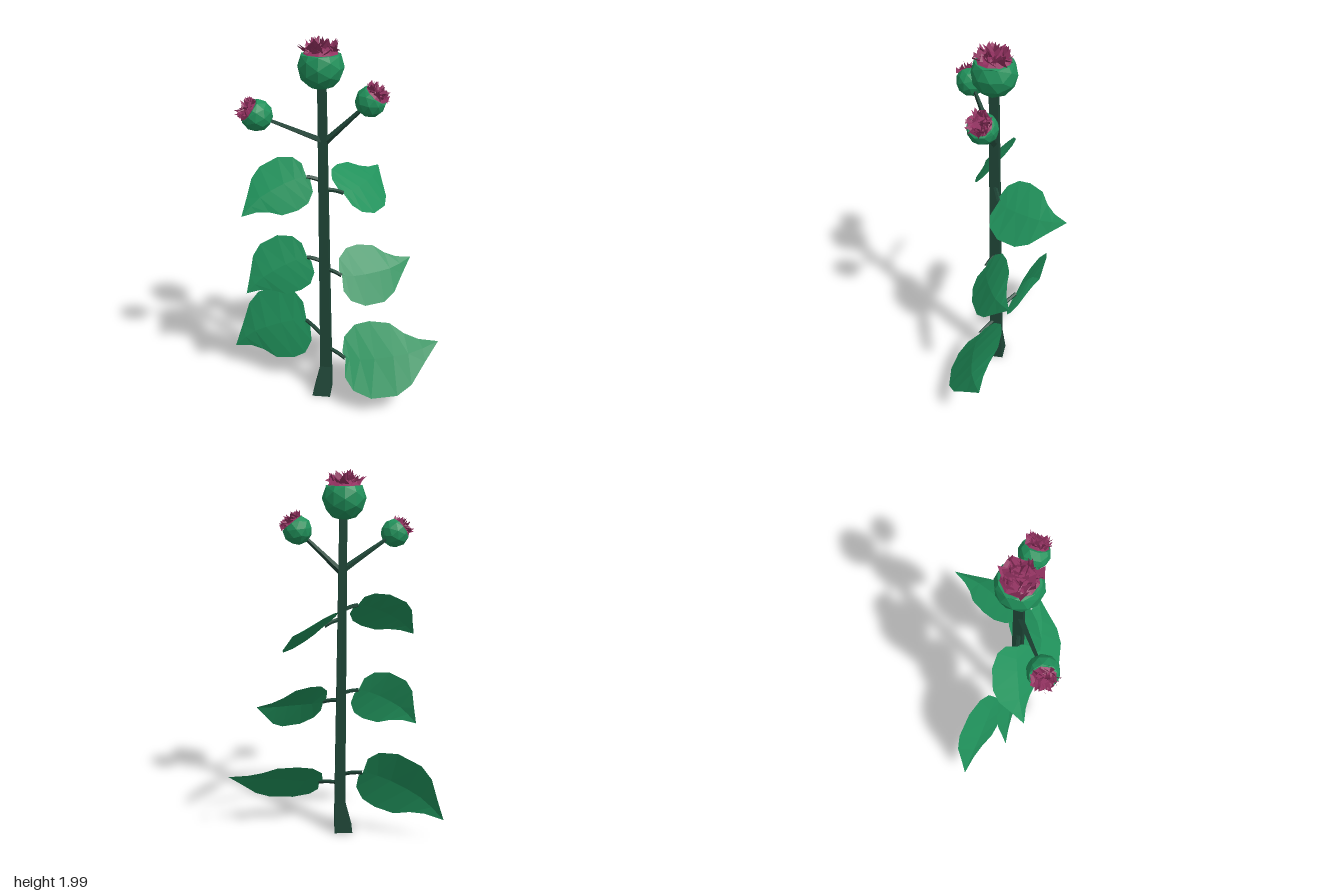
import * as THREE from 'three';

const V = (p) => new THREE.Vector3(...p);

// Flat facets: every triangle gets its own normal
function facet(geometry) {
  const g = geometry.index ? geometry.toNonIndexed() : geometry;
  g.computeVertexNormals();
  return g;
}

function seeded(seed) {
  return () => {
    seed = (seed * 16807) % 2147483647;
    return seed / 2147483647;
  };
}

// Tapered rod between two points
function rod(a, b, ra, rb, sides) {
  const d = b.clone().sub(a);
  const g = new THREE.CylinderGeometry(rb, ra, d.length(), sides);
  g.applyQuaternion(new THREE.Quaternion().setFromUnitVectors(new THREE.Vector3(0, 1, 0), d.normalize()));
  const mid = a.clone().add(b).multiplyScalar(0.5);
  return facet(g.translate(mid.x, mid.y, mid.z));
}

// Square stem: flared foot, then a slow taper with a slight lean
function stemGeometry() {
  // centre x, height, centre z, half width, half depth
  const rings = [[-0.05, 0, 0.09, 0.05, 0.058], [-0.03, 0.17, 0.073, 0.03, 0.032], [-0.046, 1.78, 0.074, 0.02, 0.022]];
  const g = new THREE.BoxGeometry(2, 2, 2, 1, 2, 1);
  const p = g.attributes.position;
  for (let i = 0; i < p.count; i++) {
    const [x, y, z, w, d] = rings[Math.round(p.getY(i)) + 1];
    p.setXYZ(i, x + p.getX(i) * w, y, z + p.getZ(i) * d);
  }
  return facet(g);
}

// Unit leaf blade along +x, width along z: left edge, midrib and right edge
function leafGeometry() {
  const left = [[-0.02, -0.07], [0.03, -0.23], [0.16, -0.335], [0.32, -0.345], [0.53, -0.285], [0.66, -0.15], [0.8, -0.06]];
  const rib = [[0, 0], [0.04, 0.02], [0.15, 0.05], [0.3, 0.07], [0.5, 0.08], [0.66, 0.08], [0.82, 0.05]];
  const right = [[-0.01, 0.05], [-0.04, 0.2], [0.02, 0.35], [0.19, 0.465], [0.46, 0.484], [0.63, 0.4], [0.82, 0.19]];
  const pos = [], idx = [];
  rib.forEach((m, i) => {
    const h = 0.04 * Math.sin(Math.PI * m[0]);
    pos.push(left[i][0], 0, left[i][1], m[0], h, m[1], right[i][0], 0, right[i][1]);
  });
  for (let i = 0; i < 6; i++) {
    for (let k = 0; k < 2; k++) {
      const a = i * 3 + k, b = a + 1, c = a + 3, d = a + 4;
      idx.push(a, b, d, a, d, c);
    }
  }
  pos.push(1, 0, 0); // pointed tip
  idx.push(18, 19, 21, 19, 20, 21);
  const g = new THREE.BufferGeometry();
  g.setAttribute('position', new THREE.Float32BufferAttribute(pos, 3));
  g.setIndex(idx);
  return facet(g);
}

// Unit bud: faceted ball cut flat at the crown, with a wide rim
function budGeometry() {
  const g = new THREE.IcosahedronGeometry(1, 1);
  const p = g.attributes.position;
  for (let i = 0; i < p.count; i++) {
    const x = p.getX(i), z = p.getZ(i), r = Math.hypot(x, z);
    if (p.getY(i) < 0.55) continue;
    const s = r > 0.3 ? 0.82 / r : 1;
    p.setXYZ(i, x * s, 0.55, z * s);
  }
  return facet(g);
}

// Unit tuft: broad ragged petals, highest in the middle of the crown
function petalGeometry(seed) {
  const rnd = seeded(seed);
  const count = 46, pos = [];
  for (let i = 0; i < count; i++) {
    const t = i * 2.39996, f = (i + 0.5) / count, r = 0.64 * Math.sqrt(f);
    const w = 0.18 + 0.16 * rnd(), turn = rnd() * Math.PI;
    const x = r * Math.cos(t), z = r * Math.sin(t);
    const dx = w * Math.cos(turn), dz = w * Math.sin(turn);
    const lean = 0.2 + 0.25 * rnd(), way = t + 4 * (rnd() - 0.5);
    const top = 0.78 + 0.1 * rnd() + (0.28 + 0.2 * rnd()) * (1 - 0.8 * f);
    pos.push(x - dx, 0.57, z - dz, x + dx, 0.62 + 0.2 * rnd(), z + dz,
      x + lean * Math.cos(way), top, z + lean * Math.sin(way));
  }
  const g = new THREE.BufferGeometry();
  g.setAttribute('position', new THREE.Float32BufferAttribute(pos, 3));
  return facet(g);
}

export function createModel() {
  const material = (name, color, side = THREE.FrontSide) => {
    const m = new THREE.MeshStandardMaterial({ color, side });
    m.name = name;
    return m;
  };
  const stemMat = material('dark stem green', 0x1f4637);
  const leafMat = material('leaf green', 0x20915b, THREE.DoubleSide);
  const budMat = material('bud green', 0x20915b);
  const petalMat = material('petal magenta', 0x923160, THREE.DoubleSide);

  const model = new THREE.Group();
  model.name = 'buddingPlant';
  const add = (parent, name, geometry, mat) => {
    const mesh = new THREE.Mesh(geometry, mat);
    mesh.name = name;
    parent.add(mesh);
    return mesh;
  };

  add(model, 'stem', stemGeometry(), stemMat);

  // Leaves: blade base, tip, facing direction, height of the stalk on the stem
  const blade = leafGeometry();
  const leaves = [
    ['lowerRightLeaf', [-0.153, 0.39, -0.02], [-0.59, 0.14, -0.1], [-0.353, 0.306, 1], 0.34],
    ['lowerLeftLeaf', [0.085, 0.265, 0.146], [0.585, 0.345, 0.04], [0.06, 0.95, 1], 0.29],
    ['middleRightLeaf', [-0.13, 0.832, 0.068], [-0.455, 0.62, 0.12], [0, 0.25, 1], 0.81],
    ['middleLeftLeaf', [0.06, 0.755, 0.109], [0.41, 0.79, -0.085], [0.476, 0.78, 1], 0.775],
    ['upperRightLeaf', [-0.125, 1.295, 0.09], [-0.44, 1.11, 0.21], [-0.15, 0.85, 1], 1.265],
    ['upperLeftLeaf', [0.055, 1.194, 0.035], [0.21, 1.225, -0.33], [0.57, 0.75, 0.3], 1.225],
  ];
  for (const [name, b, t, facing, stalkY] of leaves) {
    const group = new THREE.Group();
    group.name = name;
    model.add(group);
    const base = V(b), along = V(t).sub(base), length = along.length();
    along.normalize();
    const side = along.clone().cross(V(facing)).normalize();
    const up = side.clone().cross(along);
    const mesh = add(group, 'blade', blade, leafMat);
    mesh.quaternion.setFromRotationMatrix(new THREE.Matrix4().makeBasis(along, up, side));
    mesh.position.copy(base);
    mesh.scale.setScalar(length);

    // Short curved stalk from the stem to the notch of the blade
    const root = new THREE.Vector3(-0.035, stalkY, 0.074);
    const bend = root.clone().lerp(base, 0.6).add(new THREE.Vector3(0, 0.005, 0));
    const curve = new THREE.CatmullRomCurve3([root, bend, base]);
    add(group, 'stalk', facet(new THREE.TubeGeometry(curve, 4, 0.011, 5)), stemMat);
  }

  // Buds: centre, radius, direction of the crown, height of the branch on the stem
  const ball = budGeometry();
  const buds = [
    ['topBud', [-0.05, 1.85, 0.073], 0.114, [0, 1, 0], 0],
    ['rightBud', [-0.33, 1.655, 0.255], 0.077, [-0.72, 0.55, 0.22], 1.48],
    ['leftBud', [0.19, 1.69, 0.08], 0.077, [0.6, 0.75, 0.1], 1.47],
  ];
  buds.forEach(([name, c, radius, dir, branchY], i) => {
    const group = new THREE.Group();
    group.name = name;
    model.add(group);
    const head = new THREE.Group();
    head.name = 'head';
    head.position.copy(V(c));
    head.scale.setScalar(radius);
    head.quaternion.setFromUnitVectors(new THREE.Vector3(0, 1, 0), V(dir).normalize());
    group.add(head);
    add(head, 'budBall', ball, budMat);
    const mound = facet(new THREE.CylinderGeometry(0.4, 0.76, 0.25, 9));
    add(head, 'petalMound', mound.translate(0, 0.67, 0), petalMat);
    add(head, 'petals', petalGeometry(11 + i * 97), petalMat);
    if (branchY) {
      add(group, 'branch', rod(new THREE.Vector3(-0.038, branchY, 0.074), V(c), 0.018, 0.008, 4), stemMat);
    }
  });

  return model;
}
